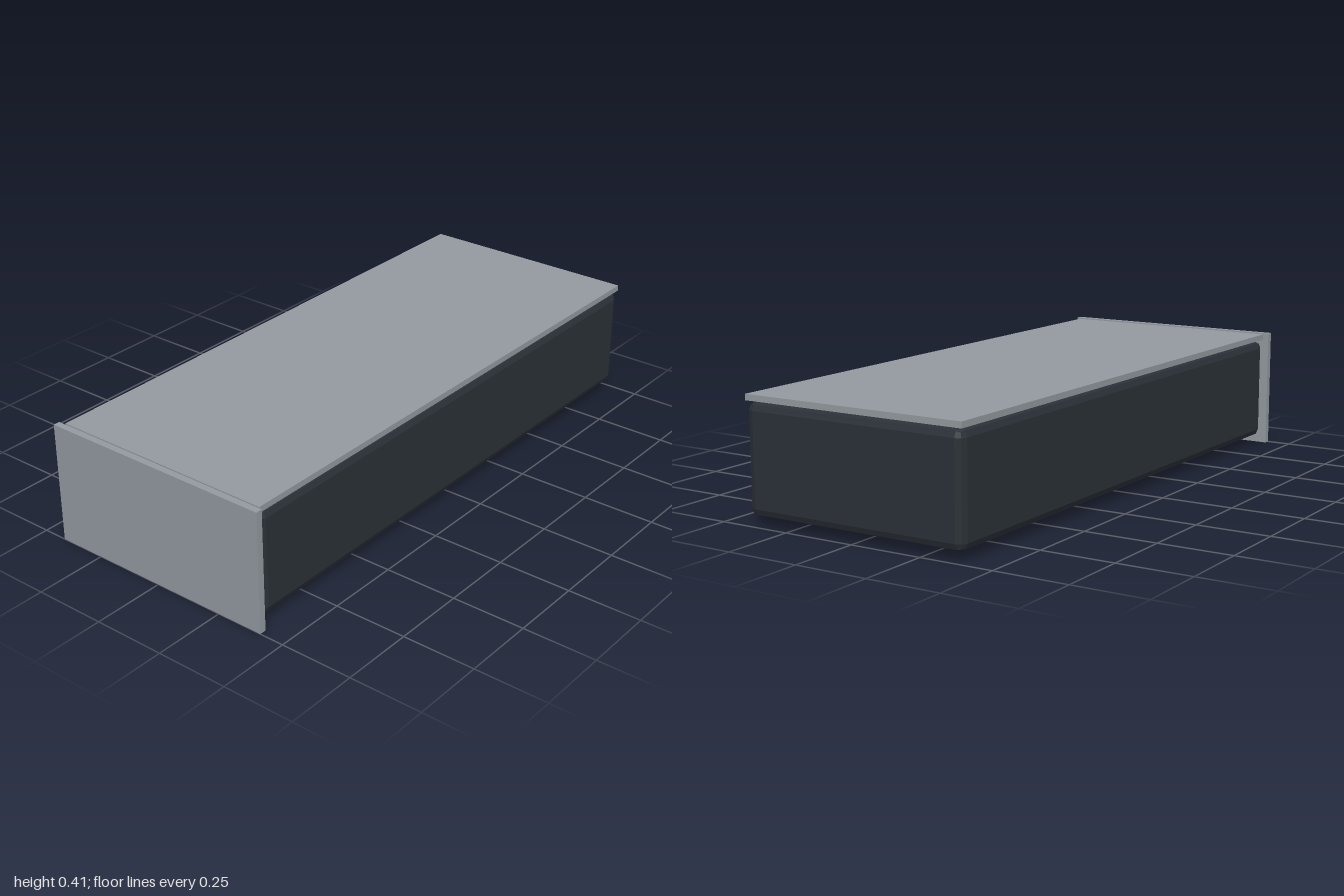
import * as THREE from 'three';
import { RoundedBoxGeometry } from 'three/addons/geometries/RoundedBoxGeometry.js';

// Add a named mesh filling the given min/max corners
function addBox(group, name, min, max, color, radius = 0) {
  const size = max.map((v, i) => v - min[i]);
  const geometry = radius
    ? new RoundedBoxGeometry(...size, 1, radius)
    : new THREE.BoxGeometry(...size);
  const mesh = new THREE.Mesh(
    geometry,
    new THREE.MeshStandardMaterial({ color, flatShading: true })
  );
  mesh.name = name;
  mesh.position.set(...max.map((v, i) => (v + min[i]) / 2));
  group.add(mesh);
}

export function createModel() {
  const model = new THREE.Group();
  model.name = 'drawerBox';

  // Dark body with two-step bevelled edges
  addBox(model, 'body', [-0.968, 0.03, -0.398], [0.997, 0.388, 0.398], 0x2b3138, 0.026);

  // Thin top plate, a small gap above the body
  addBox(model, 'topPlate', [-0.968, 0.392, -0.398], [0.997, 0.412, 0.398], 0x949aa1);

  // End plate overhanging the body on every side
  addBox(model, 'endPlate', [-1, 0, -0.415], [-0.977, 0.415, 0.415], 0x949aa1);

  return model;
}
